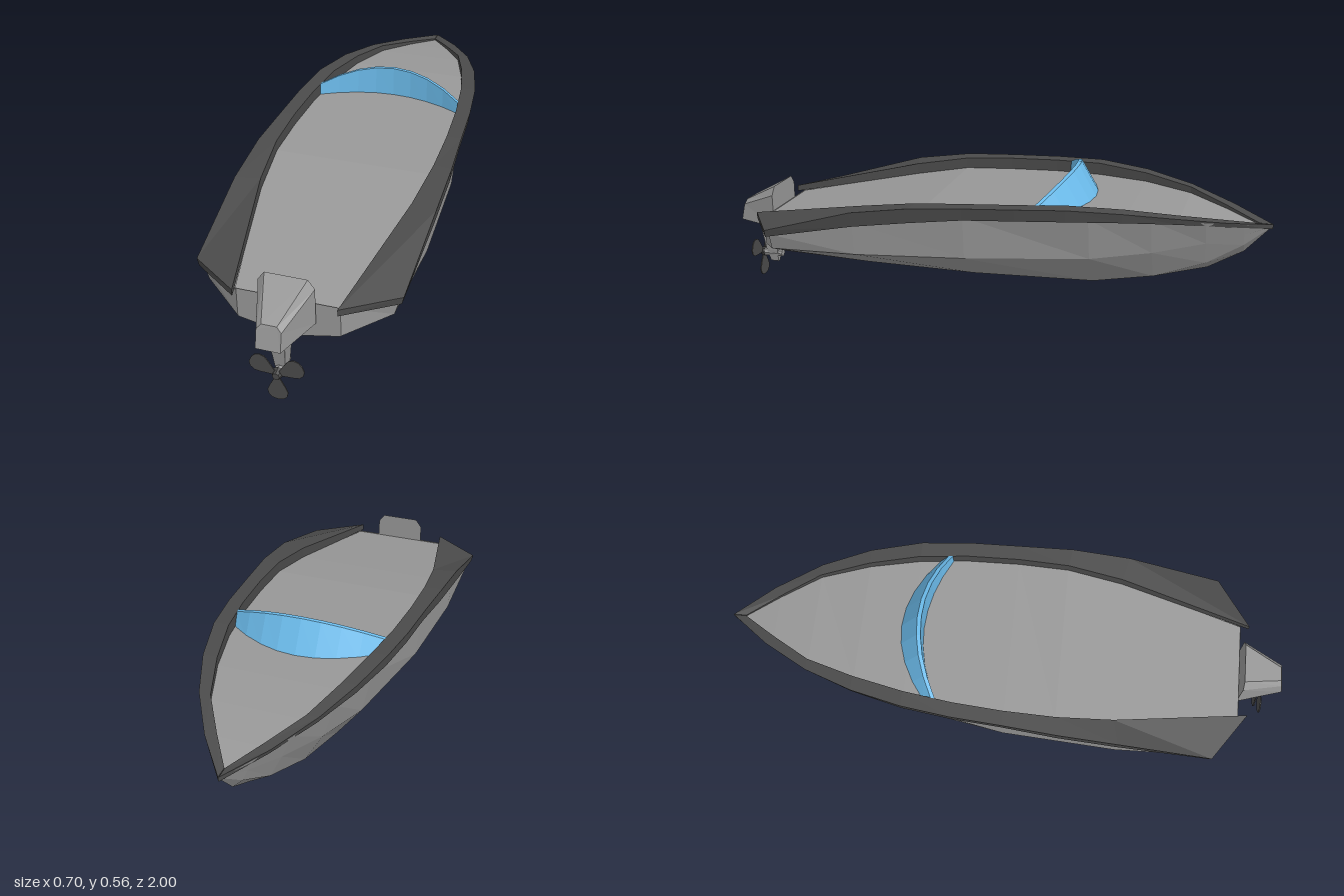
import * as THREE from 'three';

const paint = (color) => new THREE.MeshStandardMaterial({ color, flatShading: true, side: THREE.DoubleSide });
const grey = paint(0x989898), dark = paint(0x4b4b4b), blue = paint(0x6cbcec);

function add(parent, name, geometry, material) {
  const mesh = new THREE.Mesh(geometry, material);
  mesh.name = name;
  parent.add(mesh);
  return mesh;
}

// Skin a list of rings of [x, y, z] points; closed rings may be capped at both ends.
function loft(rings, { closed = false, capStart = false, capEnd = false } = {}) {
  const n = rings[0].length, index = [], last = (rings.length - 1) * n;
  for (let i = 0; i < rings.length - 1; i++) {
    for (let j = 0; j < (closed ? n : n - 1); j++) {
      const k = (j + 1) % n, a = i * n + j, b = i * n + k;
      index.push(a, b, b + n, a, b + n, a + n);
    }
  }
  for (let j = 1; j < n - 1; j++) {
    if (capStart) index.push(0, j + 1, j);
    if (capEnd) index.push(last, last + j, last + j + 1);
  }
  const g = new THREE.BufferGeometry();
  g.setAttribute('position', new THREE.Float32BufferAttribute(rings.flat(2), 3));
  g.setIndex(index);
  const flat = g.toNonIndexed();
  flat.computeVertexNormals();
  return flat;
}

const solid = { closed: true, capStart: true, capEnd: true };

// Extend a half section on +x with its mirror image.
const mirrored = (half) => [...half, ...half.filter((p) => p[0] > 0).reverse().map(([x, y, z]) => [-x, y, z])];

// Hull stations from stern to bow: z, sheer x y, chine x y, lower chine x y, keel y
const hullStations = [
  [0.83, 0.17, 0.308, 0.17, 0.202, 0.168, 0.2, 0.165],
  [0.73, 0.328, 0.305, 0.31, 0.245, 0.195, 0.192, 0.165],
  [0.4, 0.336, 0.385, 0.326, 0.265, 0.2, 0.19, 0.163],
  [0, 0.325, 0.445, 0.31, 0.29, 0.195, 0.192, 0.162],
  [-0.42, 0.28, 0.465, 0.245, 0.312, 0.16, 0.199, 0.165],
  [-0.62, 0.222, 0.46, 0.182, 0.333, 0.12, 0.225, 0.186],
  [-0.79, 0.148, 0.445, 0.112, 0.36, 0.072, 0.275, 0.232],
  [-0.91, 0.07, 0.425, 0.052, 0.383, 0.034, 0.34, 0.305],
  [-0.99, 0.006, 0.405, 0.005, 0.402, 0.003, 0.4, 0.396],
];

// Gunwale stations: outer z x, inner z x, top y, bottom y, deck y
const rimStations = [
  [0.74, 0.342, 0.86, 0.17, 0.323, 0.297, 0.304],
  [0.4, 0.352, 0.38, 0.265, 0.428, 0.375, 0.388],
  [0.19, 0.35, 0.18, 0.285, 0.463, 0.41, 0.424],
  [0, 0.338, 0, 0.285, 0.478, 0.435, 0.436],
  [-0.18, 0.328, -0.18, 0.275, 0.489, 0.447, 0.447],
  [-0.35, 0.308, -0.35, 0.254, 0.497, 0.455, 0.454],
  [-0.53, 0.265, -0.53, 0.214, 0.488, 0.456, 0.456],
  [-0.7, 0.2, -0.7, 0.16, 0.467, 0.446, 0.445],
  [-0.86, 0.108, -0.84, 0.076, 0.438, 0.422, 0.426],
  [-1, 0.001, -0.955, 0.001, 0.412, 0.395, 0.406],
];

function buildMotor() {
  const motor = new THREE.Group();
  motor.name = 'outboardMotor';

  // Faceted cowl, narrowing towards the rear
  add(motor, 'motorCowl', loft([
    mirrored([[0.025, 0.317, 0.98], [0.04, 0.3, 0.985], [0.04, 0.237, 1]]),
    mirrored([[0.07, 0.395, 0.835], [0.092, 0.365, 0.835], [0.092, 0.237, 0.835]]),
  ], solid), grey);

  // Tapered leg with skeg: y, half width, front z, rear z
  const leg = [[0.24, 0.028, 0.862, 0.935], [0.11, 0.017, 0.87, 0.915], [0.063, 0.008, 0.873, 0.905]];
  add(motor, 'motorLeg', loft(leg.map(([y, w, z0, z1]) =>
    [[w, y, z0], [w, y, z1], [-w, y, z1], [-w, y, z0]]), solid), grey);

  // Gearcase along the propeller shaft
  const shaftY = 0.097;
  const gearcase = add(motor, 'gearcase', new THREE.CylinderGeometry(0.018, 0.014, 0.075, 8), grey);
  gearcase.rotation.x = Math.PI / 2;
  gearcase.position.set(0, shaftY, 0.892);

  // Propeller: hub and three blades
  const propeller = new THREE.Group();
  propeller.name = 'propeller';
  propeller.position.set(0, shaftY, 0.94);
  motor.add(propeller);
  add(propeller, 'propellerHub', new THREE.CylinderGeometry(0.012, 0.02, 0.024, 8), dark).rotation.x = Math.PI / 2;
  const side = [[0.008, 0.012], [0.026, 0.046], [0.034, 0.066], [0.03, 0.083], [0.018, 0.094]];
  const outline = [...side, [0, 0.097], ...side.slice().reverse().map(([x, y]) => [-x, y])];
  const bladeGeometry = new THREE.ExtrudeGeometry(
    new THREE.Shape(outline.map(([x, y]) => new THREE.Vector2(x, y))), { depth: 0.004, bevelEnabled: false });
  bladeGeometry.translate(0, 0, -0.002);
  for (let i = 0; i < 3; i++) {
    add(propeller, 'propellerBlade', bladeGeometry, dark).rotation.z = Math.PI + (i * Math.PI * 2) / 3;
  }
  return motor;
}

export function createModel() {
  const boat = new THREE.Group();
  boat.name = 'speedboat';

  // Hull with flat transom
  add(boat, 'hull', loft(hullStations.map(([z, sx, sy, cx, cy, mx, my, k]) =>
    mirrored([[sx, sy, z], [cx, cy, z], [mx, my, z], [0, k, z]])), { capStart: true }), grey);

  // Deck inside the gunwale
  add(boat, 'deck', loft(rimStations.map(([, , iz, ix, , , deck]) => {
    const z = Math.min(iz, 0.83), x = ix + 0.004;
    return [[-x, deck, z], [x, deck, z]];
  })), grey);

  // Gunwale, one strip per side
  for (const s of [1, -1]) {
    const rings = rimStations.map(([oz, ox, iz, ix, top, bottom, deck]) => {
      const ring = [
        [s * ox, top, oz], [s * Math.max(ox - 0.006, 0), bottom, oz],
        [s * ix, deck - 0.004, iz], [s * ix, top, iz],
      ];
      return s > 0 ? ring : ring.reverse();
    });
    add(boat, s > 0 ? 'leftGunwale' : 'rightGunwale', loft(rings, solid), dark);
  }

  // Curved windscreen: raked outer face, upright inner face
  const screen = [];
  for (let i = 0; i <= 8; i++) {
    const u = i / 4 - 1, bow = 1 - u * u, x = 0.27 * u;
    const baseZ = -0.28 - 0.115 * bow, topZ = -0.25 - 0.075 * bow, topY = 0.491 + 0.069 * bow;
    screen.push([[x, 0.445, baseZ], [x, topY, topZ], [x, topY, topZ + 0.014], [x, 0.445, topZ + 0.016]]);
  }
  add(boat, 'windscreen', loft(screen, solid), blue);

  boat.add(buildMotor());
  return boat;
}
